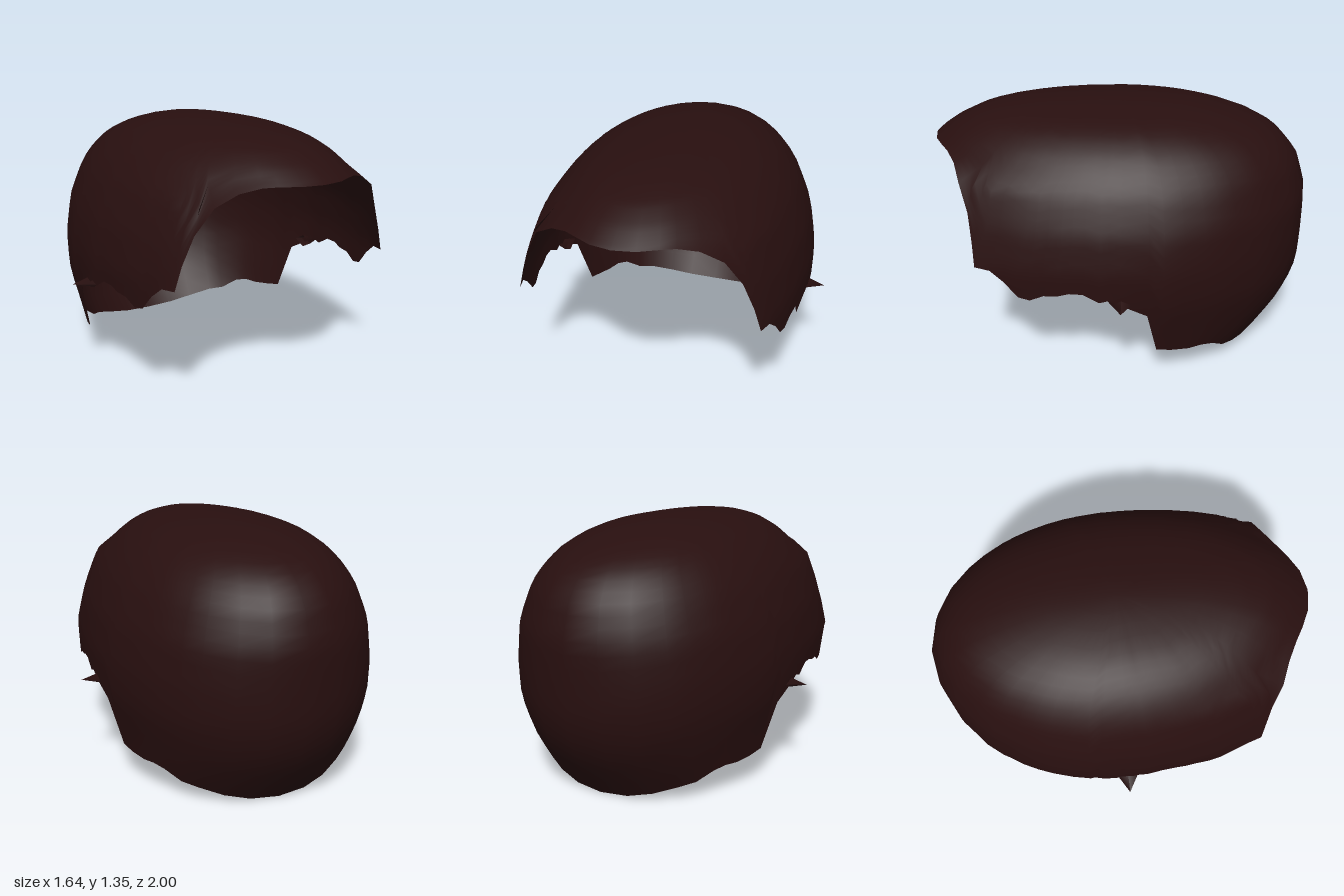
import * as THREE from 'three';
import { mergeVertices } from 'three/addons/utils/BufferGeometryUtils.js';

const CROWN = 1.35;

// Horizontal half-sizes of the dome by height: [y, side, front, back]
const LEVELS = [
  [1.35, 0, 0, 0], [1.335, 0.17, 0.43, 0.33], [1.31, 0.3, 0.63, 0.48], [1.27, 0.4, 0.78, 0.63],
  [1.21, 0.49, 0.9, 0.78], [1.14, 0.56, 1.0, 0.87], [1.05, 0.625, 1.21, 0.94], [0.86, 0.705, 1.27, 1.0],
  [0.66, 0.74, 1.4, 1.0], [0.5, 0.735, 1.4, 0.995], [0.42, 0.72, 1.35, 0.98], [0.3, 0.69, 1.3, 0.94],
  [0.16, 0.665, 1.3, 0.85], [0, 0.63, 1.3, 0.73],
];

// Ragged hem of one side, from the fringe to the nape: [z, y]
const HEM = [
  [1, 1.14], [0.98, 1.14], [0.93, 1.14], [0.89, 1.135], [0.84, 1.11], [0.8, 1.05], [0.75, 0.92],
  [0.73, 0.78], [0.72, 0.66], [0.64, 0.655], [0.57, 0.6], [0.5, 0.52], [0.44, 0.51], [0.37, 0.545],
  [0.3, 0.55], [0.24, 0.57], [0.17, 0.57], [0.09, 0.525], [0.04, 0.54], [-0.02, 0.51], [-0.15, 0.44],
  [-0.2, 0.19], [-0.28, 0.175], [-0.37, 0.165], [-0.44, 0.17], [-0.5, 0.155], [-0.56, 0.1],
  [-0.62, 0.08], [-0.68, 0.04], [-0.715, 0.01], [-0.73, 0],
];

// Half-sizes at height y, blended so that the crown stays round
function sizeAt(y) {
  const u = (h) => Math.sqrt(Math.max(0, CROWN - h));
  let i = 1;
  while (i < LEVELS.length - 1 && LEVELS[i][0] > y) i++;
  const a = LEVELS[i - 1], b = LEVELS[i];
  const t = (u(y) - u(a[0])) / (u(b[0]) - u(a[0]));
  return [1, 2, 3].map((k) => a[k] + (b[k] - a[k]) * t);
}

function hairGeometry(rows = 24) {
  // One column per hem point, at the angle where the hem meets the dome
  const side = HEM.map(([z, y]) => {
    const [, front, back] = sizeAt(y);
    const c = THREE.MathUtils.clamp(z / (z > 0 ? front : back), -1, 1);
    return { angle: Math.acos(c), y };
  });
  const mirrored = side.slice(1, -1).reverse().map(({ angle, y }) => ({ angle: -angle, y }));
  const columns = [...side, ...mirrored];

  const positions = [], index = [];
  columns.forEach(({ angle, y: hem }, i) => {
    const next = (i + 1) % columns.length;
    for (let j = 0; j <= rows; j++) {
      const t = j / rows;
      const y = CROWN - (CROWN - hem) * Math.pow(t, 1.7);
      const [w, front, back] = sizeAt(y);
      const c = Math.cos(angle);
      positions.push(w * Math.sin(angle), y, c * (c > 0 ? front : back));
      if (j === rows) continue;
      const a = i * (rows + 1) + j, b = next * (rows + 1) + j;
      if (j > 0) index.push(a, a + 1, b);
      index.push(b, a + 1, b + 1);
    }
  });
  let geometry = new THREE.BufferGeometry();
  geometry.setAttribute('position', new THREE.Float32BufferAttribute(positions, 3));
  geometry.setIndex(index);
  geometry = mergeVertices(geometry);
  geometry.computeVertexNormals();
  return geometry;
}

export function createModel() {
  const group = new THREE.Group();
  group.name = 'hair';
  const hairColour = new THREE.MeshStandardMaterial({ color: 0x280f0f, side: THREE.DoubleSide });
  hairColour.name = 'dark brown hair';

  const cap = new THREE.Mesh(hairGeometry(), hairColour);
  cap.name = 'hairCap';
  group.add(cap);

  // Small pointed tuft above each ear
  for (const s of [1, -1]) {
    const geometry = new THREE.ConeGeometry(1, 0.12, 4, 1, true);
    geometry.scale(0.035, 1, 0.07);
    geometry.rotateZ(-s * Math.PI / 2);
    const tuft = new THREE.Mesh(geometry, hairColour);
    tuft.name = s > 0 ? 'leftTuft' : 'rightTuft';
    tuft.position.set(s * 0.76, 0.515, -0.02);
    group.add(tuft);
  }
  return group;
}
